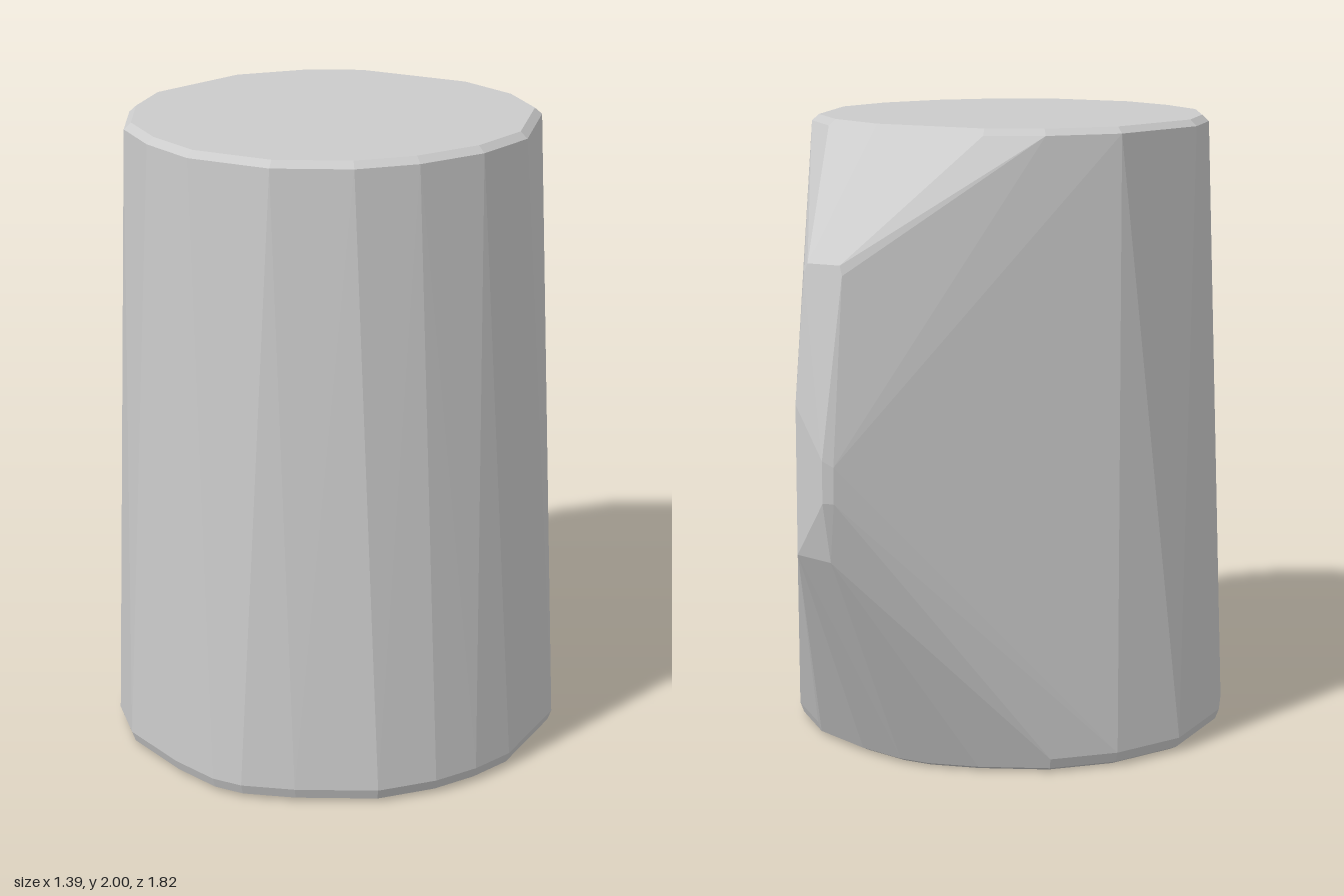
import * as THREE from 'three';
import { ConvexGeometry } from 'three/addons/geometries/ConvexGeometry.js';

// Outlines as [x, z] around the tapered body
const half = [[0.05, 0.91], [0.21, 0.86], [0.44, 0.75], [0.57, 0.61], [0.645, 0.48], [0.695, 0.34],
  [0.695, 0], [0.58, -0.225], [0.42, -0.38], [0.21, -0.47], [0.05, -0.51]];
const baseOutline = [...half, ...half.map(([x, z]) => [-x, z])];
const rimOutline = [[0.13, 0.83], [0.35, 0.73], [0.49, 0.59], [0.6, 0.39], [0.64, 0.17], [0.55, -0.15],
  [0.4, -0.3], [0.19, -0.4], [-0.2, -0.41], [-0.37, -0.33], [-0.54, -0.15], [-0.64, 0.2],
  [-0.6, 0.4], [-0.49, 0.61], [-0.33, 0.74], [-0.14, 0.83]];

// Place an outline at height y, scaled about the body axis
const ring = (outline, y, s, cz = 0.2) =>
  outline.map(([x, z]) => new THREE.Vector3(x * s, y, cz + (z - cz) * s));

export function createModel() {
  const group = new THREE.Group();

  // Pointed bulge at the back
  const ridge = [
    [0.07, 1.62, -0.81], [0.18, 1.62, -0.81], [0.06, 1.59, -0.815], [0.19, 1.59, -0.815],
    [0.2, 1.2, -0.857], [0.2, 0.74, -0.857],
    [0.08, 1.05, -0.91], [0.08, 0.92, -0.91], [0.05, 1.03, -0.895], [0.05, 0.92, -0.895],
    [0.08, 0.73, -0.865],
  ].map((p) => new THREE.Vector3(...p));

  // Body with bevelled base and rim, wrapped tightly around the ridge
  const points = [
    ...ring(baseOutline, 0, 0.95),
    ...ring(baseOutline, 0.012, 0.983),
    ...ring(baseOutline, 0.045, 1),
    ...ring(rimOutline, 1.98, 1),
    ...ring(rimOutline, 2, 0.965),
    ...ridge,
  ];
  const body = new THREE.Mesh(
    new ConvexGeometry(points),
    new THREE.MeshStandardMaterial({ color: 0xcccccc, flatShading: true }),
  );
  body.name = 'body';
  group.add(body);
  return group;
}
